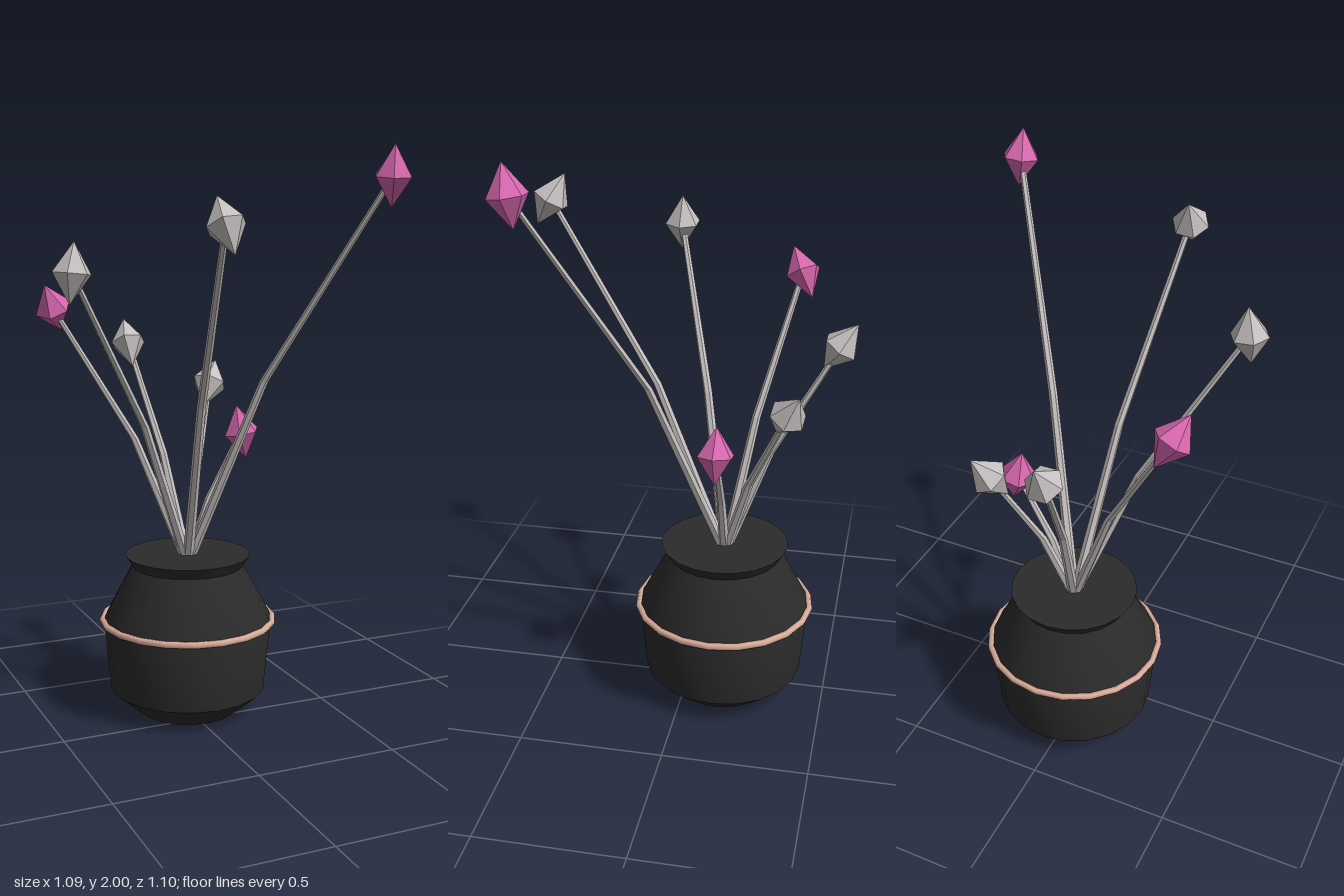
import * as THREE from 'three';
import { toCreasedNormals } from 'three/addons/utils/BufferGeometryUtils.js';

const mat = (name, color) => {
  const m = new THREE.MeshStandardMaterial({ color });
  m.name = name;
  return m;
};

export function createModel() {
  const black = mat('matte black', 0x2b2b2b);
  const copper = mat('rose copper', 0xdcae9c);
  const grey = mat('warm grey', 0xc6c0c0);
  const pink = mat('pink', 0xd968b0);
  grey.flatShading = pink.flatShading = true;

  const model = new THREE.Group();
  model.name = 'vaseWithBuds';
  const cx = 0.015, cz = -0.13;

  const add = (name, geometry, material, x, y, z) => {
    const mesh = new THREE.Mesh(geometry, material);
    mesh.name = name;
    mesh.position.set(x, y, z);
    model.add(mesh);
    return mesh;
  };

  // Closed vase with a flared lip
  const profile = [
    [0, 0], [0.18, 0], [0.28, 0.085], [0.303, 0.335], [0.298, 0.355],
    [0.2, 0.54], [0.225, 0.58], [0, 0.58],
  ].map(([r, y]) => new THREE.Vector2(r, y));
  add('vase', toCreasedNormals(new THREE.LatheGeometry(profile, 20), 0.5), black, cx, 0, cz);

  // Ring around the widest part
  const ring = new THREE.TorusGeometry(0.308, 0.012, 6, 20);
  add('vaseRing', ring.rotateX(Math.PI / 2), copper, cx, 0.34, cz);

  // Six-sided double-pointed bud
  const budProfile = [[0, -0.1], [0.065, 0], [0, 0.1]].map(([r, y]) => new THREE.Vector2(r, y));
  const budGeometry = new THREE.LatheGeometry(budProfile, 6, Math.PI / 6);

  // Tapered stem whose middle ring is shifted to bend it outwards
  const stemGeometry = (dx, dz, height) => {
    const g = new THREE.CylinderGeometry(0.011, 0.02, height, 6, 2, true);
    g.translate(0, height / 2, 0);
    const p = g.attributes.position;
    for (let i = 0; i < p.count; i++) {
      const t = p.getY(i) / height;
      const f = t < 0.25 ? 0 : t < 0.75 ? 0.4 : 1;
      p.setXYZ(i, p.getX(i) + dx * f, p.getY(i), p.getZ(i) + dz * f);
    }
    g.computeVertexNormals();
    return g;
  };

  // Bud centre, axis direction and colour
  const buds = [
    [[0.48, 1.9, 0.44], [-0.005, 0.1, 0.015], pink],
    [[-0.125, 1.75, 0.5], [-0.008, 0.088, -0.05], grey],
    [[-0.48, 1.6, 0.12], [0.01, 0.1, -0.003], grey],
    [[-0.41, 1.46, -0.33], [-0.04, 0.082, 0.04], pink],
    [[-0.07, 1.31, -0.5], [0.003, 0.083, -0.055], grey],
    [[0.2, 1.16, -0.36], [0.045, 0.083, -0.042], grey],
    [[0.225, 1.01, -0.13], [-0.02, 0.1, 0], pink],
  ];
  const up = new THREE.Vector3(0, 1, 0);
  const baseY = 0.54;
  buds.forEach(([[x, y, z], axis, material], i) => {
    add(`stem${i + 1}`, stemGeometry(x - cx, z - cz, y - baseY), grey, cx, baseY, cz);
    const bud = add(`bud${i + 1}`, budGeometry, material, x, y, z);
    bud.quaternion.setFromUnitVectors(up, new THREE.Vector3(...axis).normalize());
  });

  return model;
}
